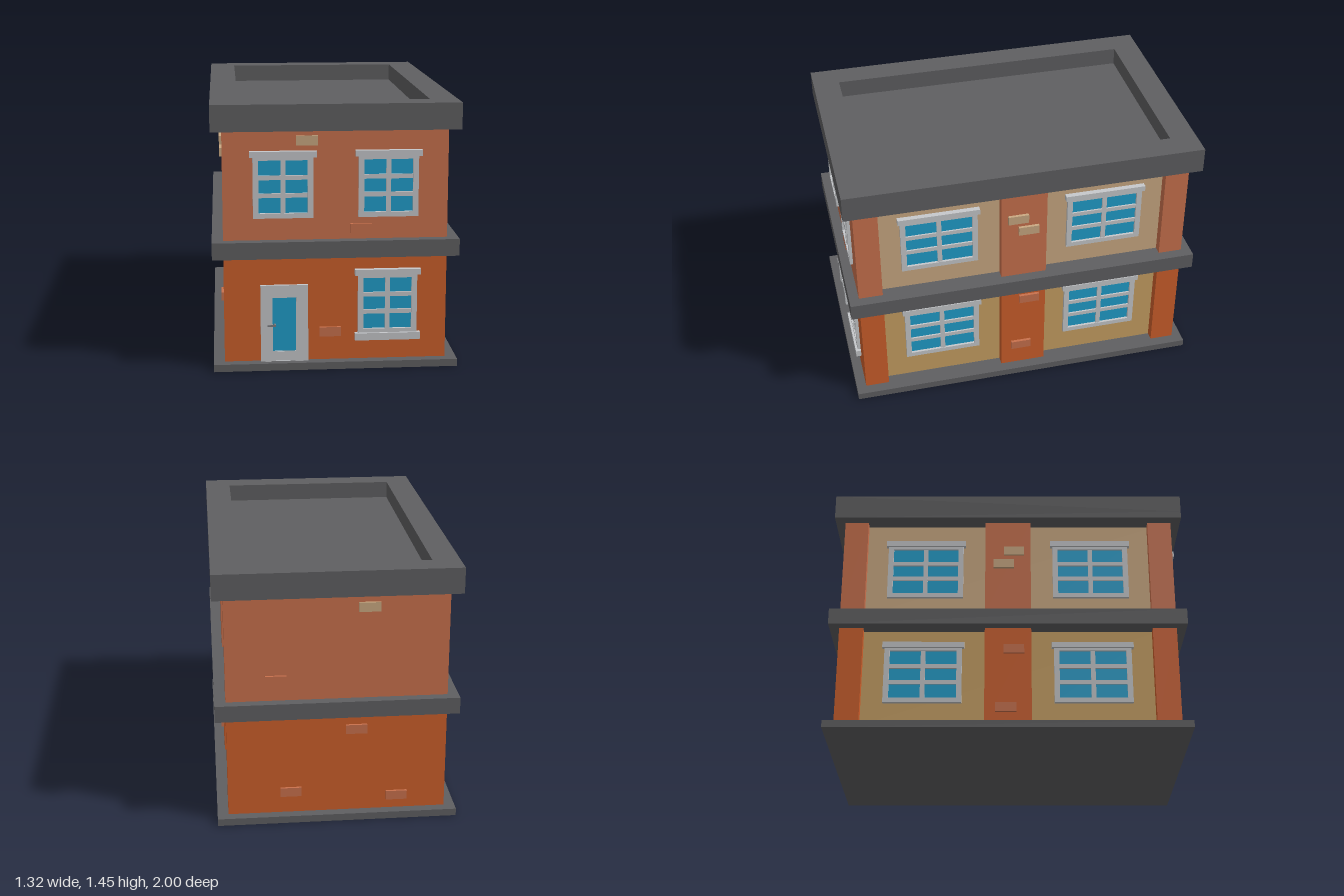
import * as THREE from 'three';

const mat = (name, color, side = THREE.FrontSide) => {
  const m = new THREE.MeshStandardMaterial({ color, side });
  m.name = name;
  return m;
};

export function createModel() {
  const slate = mat('slate', 0x5f5f61);
  const rust = mat('rust', 0xcc5f2b);
  const coral = mat('coral', 0xc9714d);
  const tan = mat('tan', 0xcaa982);
  const ochre = mat('ochre', 0xc7a063);
  const trim = mat('trim', 0xc6c8cb);
  const glass = mat('glass', 0x209ecb);
  const metal = mat('metal', 0x7c7d80);

  const model = new THREE.Group();
  model.name = 'building';

  // Box given by its min and max corners
  const box = (parent, name, m, [x0, y0, z0], [x1, y1, z1]) => {
    const mesh = new THREE.Mesh(new THREE.BoxGeometry(x1 - x0, y1 - y0, z1 - z0), m);
    mesh.position.set((x0 + x1) / 2, (y0 + y1) / 2, (z0 + z1) / 2);
    mesh.name = name;
    parent.add(mesh);
    return mesh;
  };

  // Rectangular ring with a rectangular hole, extruded along +z
  const ring = (parent, name, m, [x0, y0, x1, y1], [a0, b0, a1, b1], depth) => {
    const rect = (C, l, b, r, t) => new C([
      new THREE.Vector2(l, b), new THREE.Vector2(r, b),
      new THREE.Vector2(r, t), new THREE.Vector2(l, t)]);
    const shape = rect(THREE.Shape, x0, y0, x1, y1);
    shape.holes.push(rect(THREE.Path, a0, b0, a1, b1));
    const mesh = new THREE.Mesh(new THREE.ExtrudeGeometry(shape, { depth, bevelEnabled: false }), m);
    mesh.name = name;
    parent.add(mesh);
    return mesh;
  };

  // Slabs and the roof with its sunken deck
  box(model, 'baseSlab', slate, [-0.66, 0, -1], [0.66, 0.04, 1]);
  box(model, 'floorBand', slate, [-0.66, 0.62, -1], [0.66, 0.712, 1]);
  box(model, 'roofDeck', slate, [-0.66, 1.303, -1], [0.66, 1.345, 1]);
  const parapet = ring(model, 'parapet', slate, [-0.66, -1, 0.66, 1], [-0.51, -0.85, 0.51, 0.85], 0.1);
  parapet.rotation.x = -Math.PI / 2;
  parapet.position.y = 1.345;

  // Two storeys: end walls and a middle pier around recessed side panels
  const storeys = [
    ['lower', 0.04, 0.62, rust, ochre],
    ['upper', 0.712, 1.303, coral, tan],
  ];
  for (const [name, y0, y1, wall, panel] of storeys) {
    box(model, name + 'SidePanels', panel, [-0.55, y0, -0.85], [0.55, y1, 0.85]);
    box(model, name + 'FrontWall', wall, [-0.6, y0, 0.81], [0.6, y1, 0.945]);
    box(model, name + 'BackWall', wall, [-0.6, y0, -0.945], [0.6, y1, -0.81]);
    box(model, name + 'MiddlePier', wall, [-0.6, y0, -0.13], [0.6, y1, 0.13]);
  }

  // Window facing +z, origin at the bottom centre on the wall
  const addWindow = (name, width, x, y, z, turn, sill = false) => {
    const g = new THREE.Group();
    g.name = name;
    const h = width / 2, i = h - 0.03;
    ring(g, 'windowFrame', trim, [-h, 0, h, 0.345], [-i, 0.027, i, 0.311], 0.018);
    box(g, 'windowGlass', glass, [-i, 0.027, 0], [i, 0.311, 0.004]);
    box(g, 'mullion', trim, [-0.013, 0.027, 0], [0.013, 0.311, 0.014]);
    for (const t of [0.11, 0.206])
      box(g, 'transom', trim, [-i, t, 0], [i, t + 0.024, 0.0135]);
    const o = h + (sill ? 0.017 : 0.012);
    box(g, 'windowHeader', trim, [-o, 0.328, 0], [o, 0.36, 0.03]);
    if (sill) box(g, 'windowSill', trim, [-o, -0.035, 0], [o, 0.005, 0.03]);
    g.position.set(x, y, z);
    g.rotation.y = turn;
    model.add(g);
    return g;
  };
  const LOW = 0.185, HIGH = 0.833;
  addWindow('frontWindowLower', 0.32, 0.28, LOW, 0.945, 0, true);
  for (const s of [-1, 1]) {
    const front = addWindow('frontWindowUpper', 0.32, s * 0.28, HIGH, 0.945, 0);
    front.getObjectByName('windowHeader').scale.x = 1.03;
    for (const z of [-0.473, 0.473])
      for (const y of [LOW, HIGH])
        addWindow('sideWindow', 0.433, s * 0.55, y, z, s * Math.PI / 2);
  }

  // Front door
  const door = new THREE.Group();
  door.name = 'door';
  door.position.set(-0.277, 0.04, 0.945);
  model.add(door);
  ring(door, 'doorFrame', trim, [-0.128, 0, 0.128, 0.425], [-0.103, 0.0, 0.103, 0.397], 0.016);
  ring(door, 'doorLeaf', trim, [-0.103, 0, 0.103, 0.397], [-0.067, 0.05, 0.067, 0.358], 0.01);
  box(door, 'doorGlass', glass, [-0.067, 0.05, 0], [0.067, 0.358, 0.004]);
  ring(door, 'glassBead', trim, [-0.07, 0.047, 0.07, 0.361], [-0.063, 0.055, 0.063, 0.353], 0.007);
  const knob = new THREE.Mesh(new THREE.CylinderGeometry(0.007, 0.007, 0.02, 12), metal);
  knob.name = 'handleStem';
  knob.rotation.x = Math.PI / 2;
  knob.position.set(-0.052, 0.203, 0.018);
  door.add(knob);
  box(door, 'handleLever', metal, [-0.092, 0.198, 0.022], [-0.046, 0.208, 0.029]);

  // Exposed bricks: material, position along the wall, height
  const brick = (m, x, y, z, alongZ) => {
    const w = 0.058, d = 0.015, h = 0.026;
    const [a, c] = alongZ ? [d, w] : [w, d];
    box(model, 'brick', m, [x - a, y - h, z - c], [x + a, y + h, z + c]);
  };
  for (const [m, x, y] of [[tan, -0.153, 1.247], [coral, 0.135, 0.77], [coral, -0.03, 0.198]])
    brick(m, x, y, 0.943, false);
  for (const [m, x, y] of [[tan, -0.17, 1.23], [coral, 0.33, 0.83], [coral, -0.105, 0.53],
    [coral, 0.255, 0.165], [coral, -0.33, 0.12]])
    brick(m, x, y, -0.943, false);
  for (const s of [-1, 1]) {
    brick(tan, s * 0.601, 1.11, 0.035, true);
    brick(tan, s * 0.601, 1.028, -0.025, true);
    const drop = s < 0 ? 0.045 : 0;
    brick(coral, s * 0.601, 0.533 - drop, s * -0.032, true);
    brick(coral, s * 0.601, 0.184 - drop, s * 0.013, true);
  }

  return model;
}
